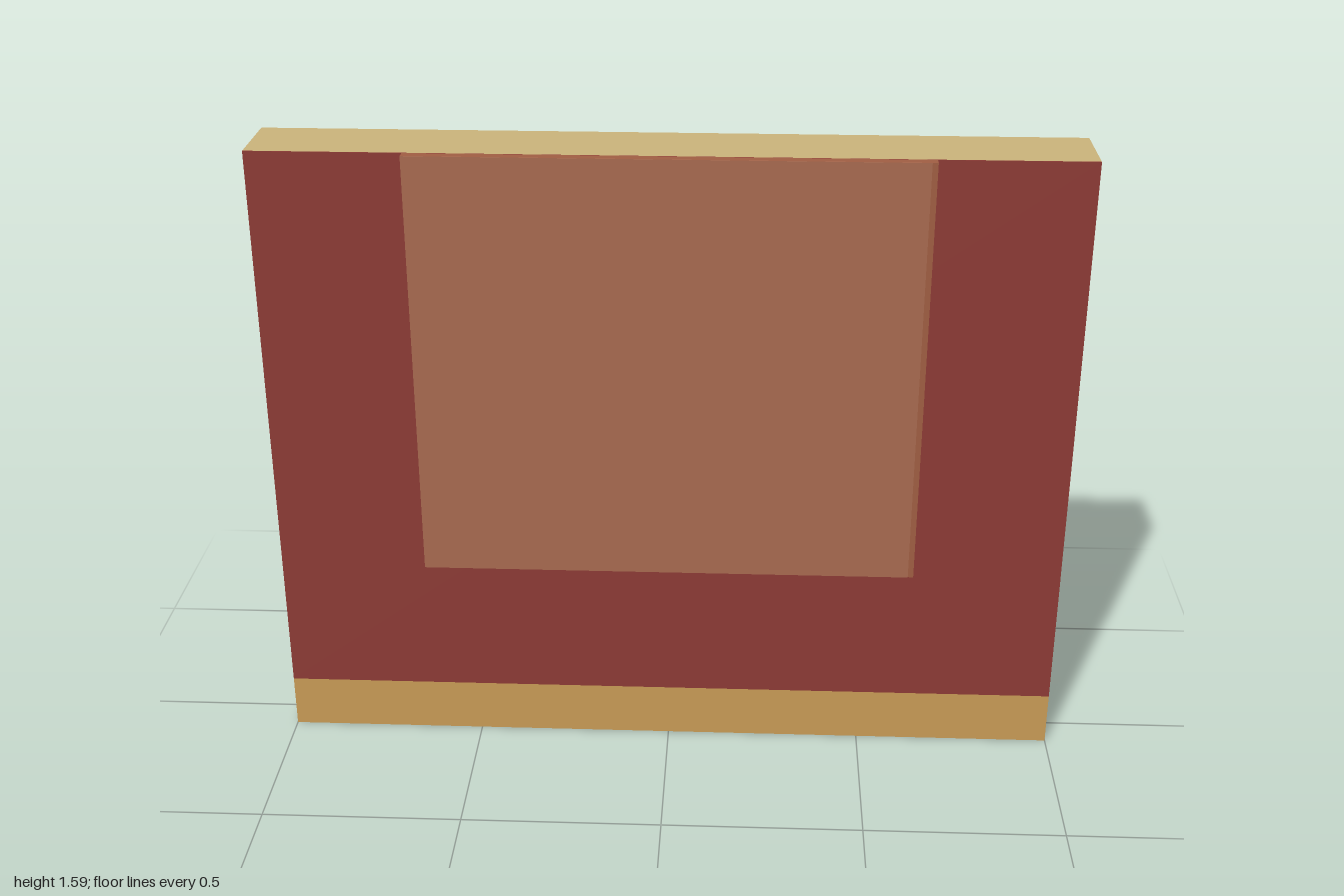
import * as THREE from 'three';

const paint = (name, color) => {
  const m = new THREE.MeshStandardMaterial({ color });
  m.name = name;
  return m;
};

export function createModel() {
  const group = new THREE.Group();
  const tan = paint('tan', 0xc8b27a);
  const red = paint('brick red', 0x8c3a35);
  const ochre = paint('ochre', 0xc89a55);
  const clay = paint('clay', 0xa7694f);
  const darkClay = paint('dark clay', 0x9f5d42);

  // Box given by its two opposite corners
  const block = (name, [x0, y0, z0], [x1, y1, z1], material) => {
    const geometry = new THREE.BoxGeometry(x1 - x0, y1 - y0, z1 - z0);
    geometry.translate((x0 + x1) / 2, (y0 + y1) / 2, (z0 + z1) / 2);
    const mesh = new THREE.Mesh(geometry, material);
    mesh.name = name;
    group.add(mesh);
  };

  const top = 1.59, face = 0.085, skin = 0.002;

  // Wall slab with its painted front
  block('slab', [-1, 0, -0.11], [1, top, face - skin], tan);
  block('baseStripe', [-1, 0, face - skin], [1, 0.138, face], ochre);
  block('wallFront', [-1, 0.138, face - skin], [1, top, face], red);

  // Raised panel, its front leaving a narrow rim along one edge
  block('panel', [-0.624, 0.5, face], [0.624, top, 0.109], darkClay);
  block('panelFront', [-0.624, 0.5, 0.109], [0.61, top, 0.111], clay);

  return group;
}
